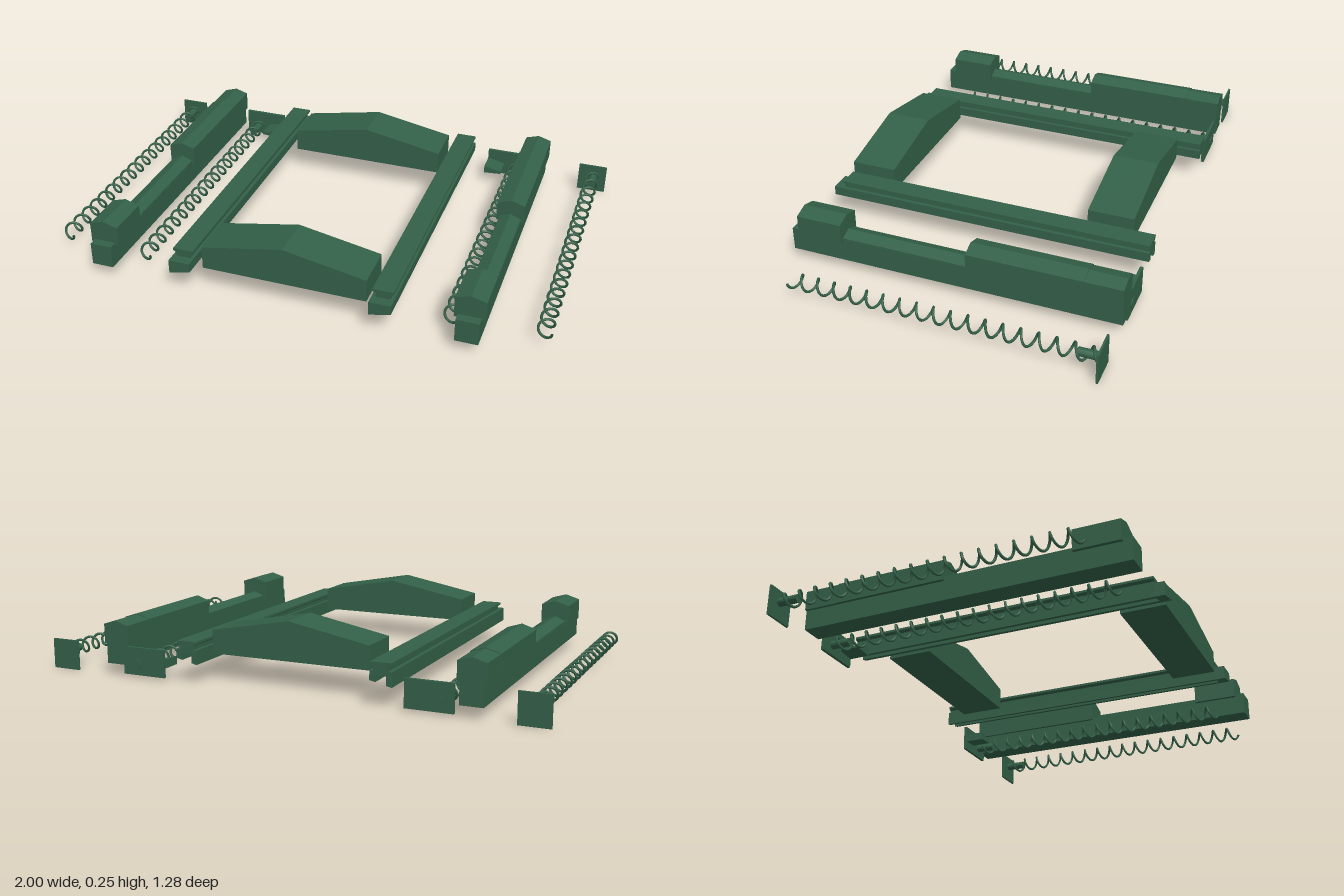
import * as THREE from 'three';

const mat = new THREE.MeshStandardMaterial({ color: 0x336048, flatShading: true });
const wireMat = new THREE.MeshStandardMaterial({ color: 0x336048, side: THREE.DoubleSide });

export function createModel() {
  const model = new THREE.Group();

  const add = (parent, name, geometry, x = 0, y = 0, z = 0, material = mat) => {
    const mesh = new THREE.Mesh(geometry, material);
    mesh.name = name;
    mesh.position.set(x, y, z);
    parent.add(mesh);
    return mesh;
  };
  // Box given by its limits
  const box = (parent, name, x0, x1, y0, y1, z0, z1) =>
    add(parent, name, new THREE.BoxGeometry(x1 - x0, y1 - y0, z1 - z0),
      (x0 + x1) / 2, (y0 + y1) / 2, (z0 + z1) / 2);
  // Outline in x and y, swept from z0 to z1
  const prism = (parent, name, points, z0, z1, x = 0) => {
    const shape = new THREE.Shape(points.map(([px, py]) => new THREE.Vector2(px, py)));
    return add(parent, name, new THREE.ExtrudeGeometry(shape, { depth: z1 - z0, bevelEnabled: false }), x, 0, z0);
  };
  // Pentagon outline with a ridge along the middle
  const gable = (w, bottom, shoulder, peak) =>
    [[-w, bottom], [w, bottom], [w, shoulder], [0, peak], [-w, shoulder]];
  const group = (name) => {
    const g = new THREE.Group();
    g.name = name;
    model.add(g);
    return g;
  };

  // Coil spring running along z
  class Helix extends THREE.Curve {
    getPoint(t, target = new THREE.Vector3()) {
      const a = t * 18 * Math.PI * 2;
      return target.set(0.027 * Math.cos(a), 0.027 * Math.sin(a), -0.62 + 1.15 * t);
    }
  }
  const springGeometry = new THREE.TubeGeometry(new Helix(), 360, 0.005, 6);
  const pinGeometry = new THREE.CylinderGeometry(0.016, 0.016, 0.08, 16).rotateX(Math.PI / 2);
  const discGeometry = new THREE.CylinderGeometry(0.022, 0.022, 0.004, 16).rotateX(Math.PI / 2);

  // Ridged bridges across the middle
  const bridge = gable(0.32, 0.105, 0.195, 0.255);
  prism(model, 'frontBridge', bridge, 0.427, 0.605);
  prism(model, 'rearBridge', bridge, -0.552, -0.373);

  // Grooved guide rails beside the bridges
  const railOutline = [
    [-0.042, 0.077], [-0.02, 0.082], [-0.02, 0.115], [0.02, 0.115], [0.02, 0.091], [0.042, 0.096],
    [0.042, 0.132], [0.028, 0.132], [0.028, 0.147], [0.04, 0.154], [0.04, 0.163],
    [-0.04, 0.163], [-0.04, 0.154], [-0.028, 0.147], [-0.028, 0.132], [-0.042, 0.132],
  ];
  const capOutline = [[-0.042, 0.077], [0.042, 0.096], [0.042, 0.132], [-0.042, 0.132]];
  for (const x of [-0.401, 0.38]) {
    const rail = group('guideRail');
    prism(rail, 'railBody', railOutline, -0.64, 0.6, x);
    prism(rail, 'railFrontCap', capOutline, 0.6, 0.64, x);
  }

  // Long bars with ridged housings
  for (const x of [-0.728, 0.696]) {
    const bar = group('longBar');
    box(bar, 'barBase', x - 0.043, x + 0.043, 0.045, 0.135, -0.64, 0.64);
    prism(bar, 'barRidge', gable(0.042, 0.13, 0.14, 0.157), -0.07, 0.44, x);
    prism(bar, 'frontHousing', gable(0.057, 0.122, 0.203, 0.22), 0.428, 0.605, x);
    prism(bar, 'middleHousing', gable(0.055, 0.122, 0.2, 0.218), -0.5, -0.063, x);
    prism(bar, 'rearHousing', gable(0.053, 0.122, 0.198, 0.214), -0.64, -0.5, x);
  }

  for (const side of [-1, 1]) {
    // Outer spring on its end plate
    const outer = group(side > 0 ? 'leftOuterSpring' : 'rightOuterSpring');
    const ox = side * 0.946;
    add(outer, 'spring', springGeometry, ox, 0.07, 0, wireMat);
    add(outer, 'pin', pinGeometry, ox, 0.07, -0.588);
    box(outer, 'endPlate', side * 0.942 - 0.058, side * 0.942 + 0.058, 0, 0.117, -0.635, -0.627);

    // Inner spring on its wider plate, with a wedge tab
    const inner = group(side > 0 ? 'leftInnerSpring' : 'rightInnerSpring');
    const ix = side * 0.61;
    add(inner, 'spring', springGeometry, ix, 0.05, 0, wireMat);
    add(inner, 'pin', pinGeometry, ix, 0.05, -0.588);
    add(inner, 'pinHead', discGeometry, ix, 0.05, -0.638);
    box(inner, 'endPlate', side * 0.576 - 0.09, side * 0.576 + 0.09, 0.01, 0.117, -0.637, -0.625);
    const wedge = [[0.487, 0.045], [0.56, 0.05], [0.56, 0.06], [0.487, 0.078]];
    prism(inner, 'wedgeTab', wedge.map(([x, y]) => [side * x, y]), -0.626, -0.545);
  }

  return model;
}
